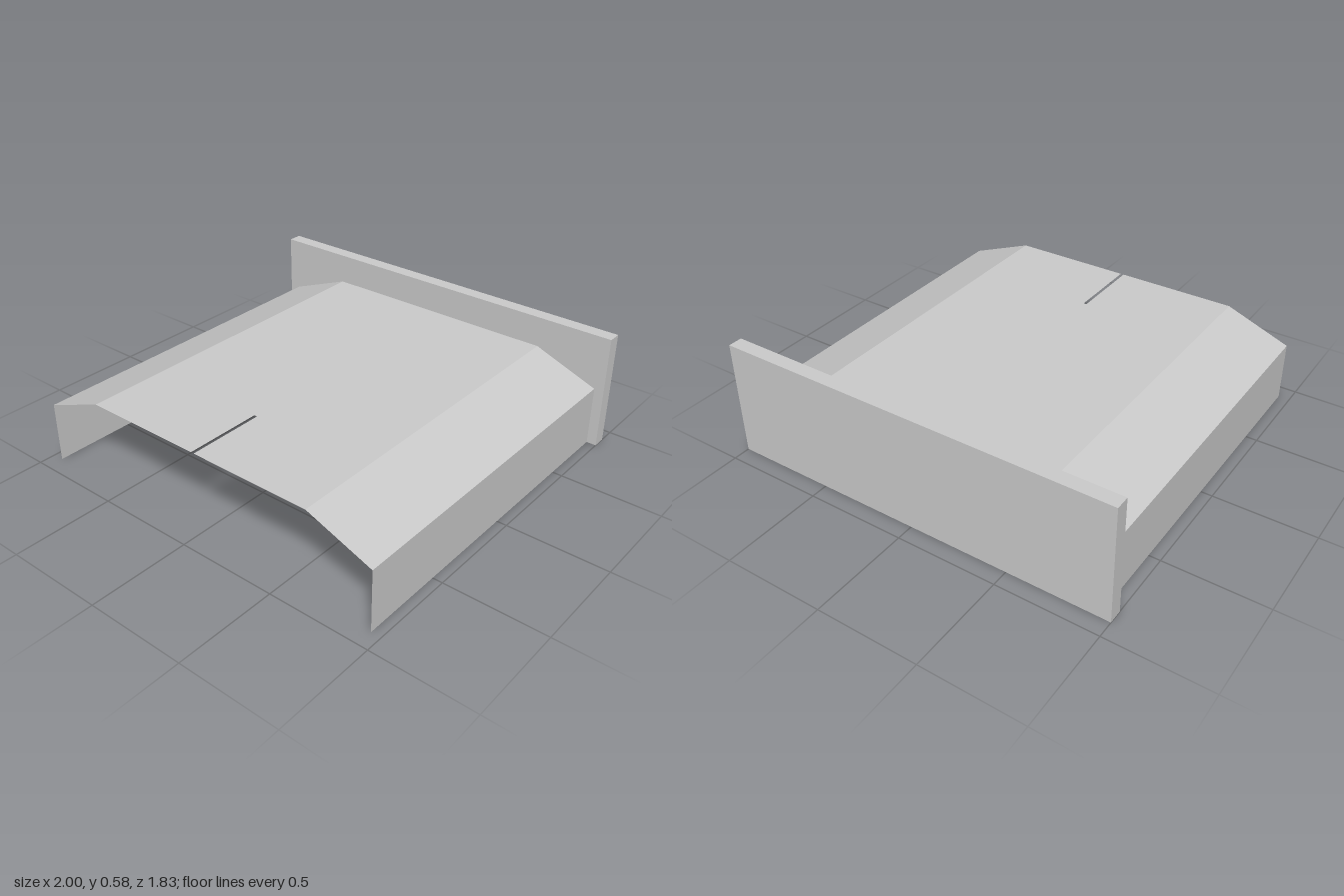
import * as THREE from 'three';

const material = new THREE.MeshStandardMaterial({
  color: 0xcccccc, flatShading: true, side: THREE.DoubleSide,
});

const BACK = -0.845, FRONT = 0.915; // z range of the folded sheet
const CENTRE = 0.004;               // sheet sits slightly off the panel's middle
const HALF = 0.947, FOLD = 0.62;    // half widths at the walls and at the upper folds
const WALL_TOP = 0.305, TOP = 0.43;

function addMesh(group, name, geometry) {
  const mesh = new THREE.Mesh(geometry, material);
  mesh.name = name;
  group.add(mesh);
  return mesh;
}

// Flat strip running from back to front between two profile points
function strip([x0, y0], [x1, y1]) {
  const geometry = new THREE.PlaneGeometry(Math.hypot(x1 - x0, y1 - y0), FRONT - BACK);
  geometry.rotateX(-Math.PI / 2);
  geometry.rotateZ(Math.atan2(y1 - y0, x1 - x0));
  geometry.translate((x0 + x1) / 2, (y0 + y1) / 2, (BACK + FRONT) / 2);
  return geometry;
}

export function createModel() {
  const group = new THREE.Group();
  group.name = 'foldedCover';

  // Upright back panel
  addMesh(group, 'backPanel', new THREE.BoxGeometry(2, 0.585, 0.07))
    .position.set(0, 0.2925, -0.88);

  const sheet = new THREE.Group();
  sheet.name = 'foldedSheet';
  sheet.position.x = CENTRE;
  group.add(sheet);

  // Flat top with a narrow slot cut in from the front edge
  const slotHalf = 0.008, slotEnd = 0.53;
  const outline = new THREE.Shape([
    [-FOLD, -FRONT], [-slotHalf, -FRONT], [-slotHalf, -slotEnd], [slotHalf, -slotEnd],
    [slotHalf, -FRONT], [FOLD, -FRONT], [FOLD, -BACK], [-FOLD, -BACK],
  ].map(([x, y]) => new THREE.Vector2(x, y)));
  const top = new THREE.ShapeGeometry(outline);
  top.rotateX(-Math.PI / 2);
  top.translate(0, TOP, 0);
  addMesh(sheet, 'slottedTop', top);

  // Sloped shoulders and upright side walls, outer faces outward
  addMesh(sheet, 'leftShoulder', strip([FOLD, TOP], [HALF, WALL_TOP]));
  addMesh(sheet, 'leftWall', strip([HALF, WALL_TOP], [HALF, 0]));
  addMesh(sheet, 'rightShoulder', strip([-HALF, WALL_TOP], [-FOLD, TOP]));
  addMesh(sheet, 'rightWall', strip([-HALF, 0], [-HALF, WALL_TOP]));

  return group;
}
